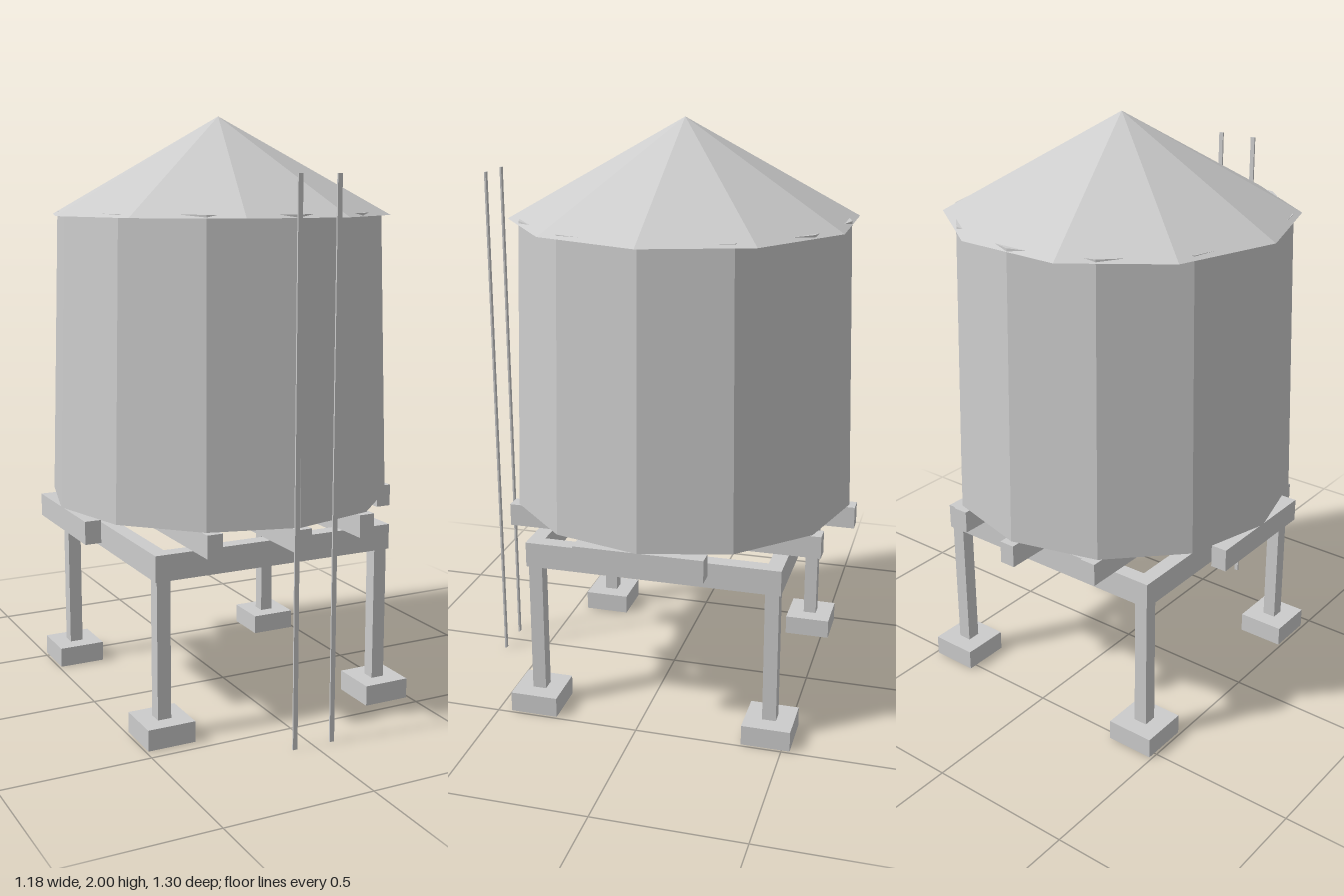
import * as THREE from 'three';

const CZ = -0.037; // centre of the tower in z; the ladder rails stand in front

export function createModel() {
  const model = new THREE.Group();
  model.name = 'waterTower';
  const paint = (name, color) => {
    const material = new THREE.MeshStandardMaterial({ color, flatShading: true, side: THREE.DoubleSide });
    material.name = name;
    return material;
  };
  const grey = paint('light grey', 0xcccccc);
  const dark = paint('dark underside grey', 0x909090);

  const tower = new THREE.Group();
  tower.name = 'tower';
  tower.position.z = CZ;
  model.add(tower);

  const add = (name, geometry, x, y, z, material = grey, parent = tower) => {
    const mesh = new THREE.Mesh(geometry, material);
    mesh.name = name;
    mesh.position.set(x, y, z);
    parent.add(mesh);
    return mesh;
  };

  // Tapered twelve-sided tank with a dark floor; its rim just breaks through the roof
  const capped = [grey, grey, dark];
  add('tank', new THREE.CylinderGeometry(0.56, 0.592, 0.984, 12), 0, 0.697 + 0.984 / 2, 0, capped);

  // Ten-sided roof, a corner pointing to each side
  add('roof', new THREE.ConeGeometry(0.591, 0.33, 10), 0, 1.835, 0, capped).rotation.y = Math.PI / 2;

  // Joists under the tank, cut to its round outline
  for (const [x, halfLength] of [[-0.561, 0.217], [-0.28, 0.543], [0, 0.614], [0.28, 0.543], [0.561, 0.217]])
    add('joist', new THREE.BoxGeometry(0.055, 0.077, halfLength * 2), x, 0.6585, 0);

  // Square frame carrying the joists
  for (const s of [-1, 1]) {
    add('sideBeam', new THREE.BoxGeometry(0.052, 0.087, 0.876), s * 0.412, 0.5765, 0);
    add('crossBeam', new THREE.BoxGeometry(0.772, 0.087, 0.052), 0, 0.5765, s * 0.412);
  }

  // Legs on hollow footings that are open below
  const footing = new THREE.BoxGeometry(0.165, 0.07, 0.165);
  const bottom = footing.groups[3];
  const index = Array.from(footing.index.array);
  index.splice(bottom.start, bottom.count);
  footing.setIndex(index);
  footing.clearGroups();
  for (const sx of [-1, 1])
    for (const sz of [-1, 1]) {
      add('leg', new THREE.BoxGeometry(0.047, 0.463, 0.047), sx * 0.408, 0.3015, sz * 0.408);
      add('footing', footing, sx * 0.408, 0.035, sz * 0.408);
    }

  // Two thin ladder rails
  for (const s of [-1, 1])
    add('ladderRail', new THREE.BoxGeometry(0.016, 1.805, 0.006), s * 0.068, 0.9025, 0.647, grey, model);

  return model;
}
